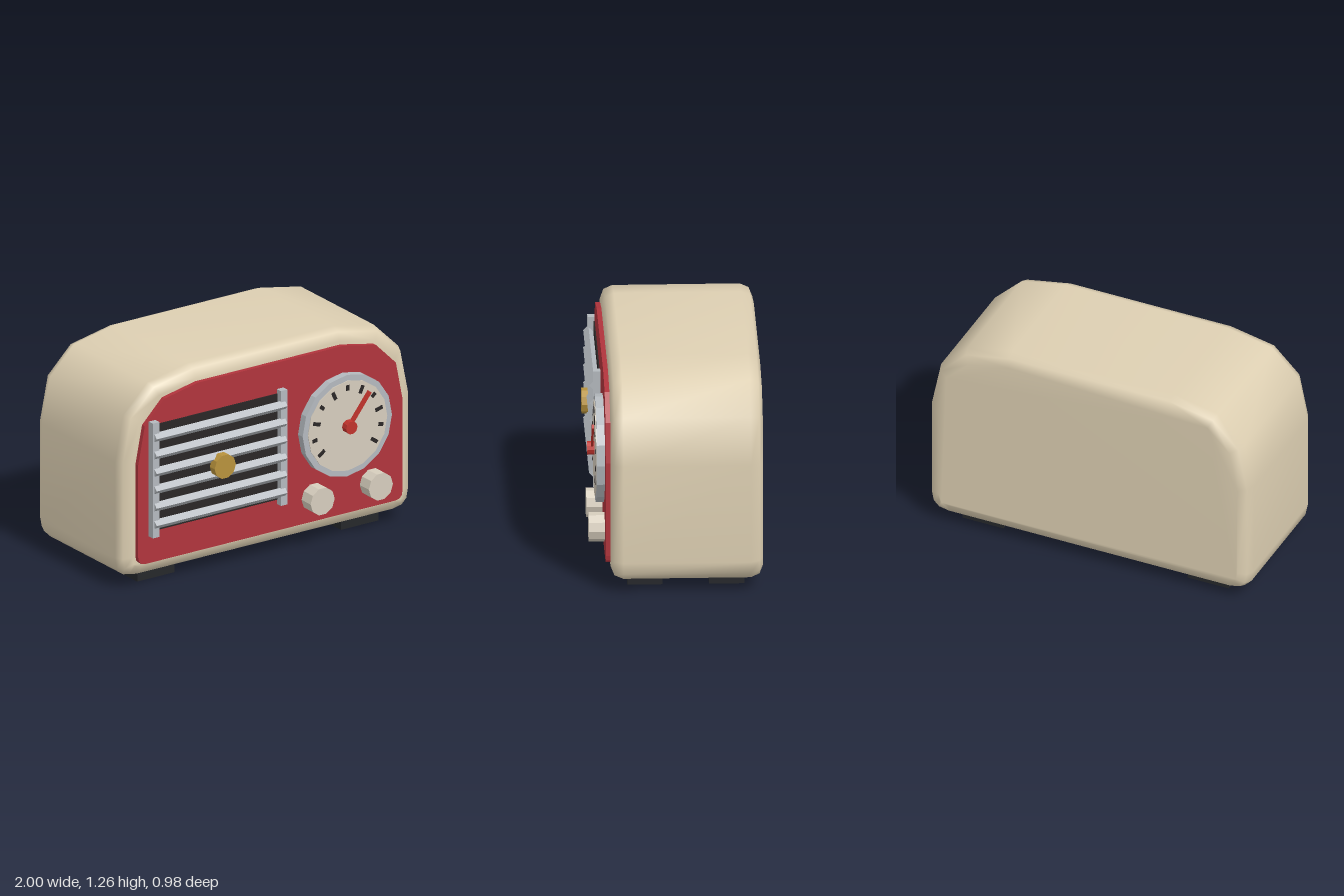
import * as THREE from 'three';
import { mergeVertices } from 'three/addons/utils/BufferGeometryUtils.js';

const paint = (color, flatShading = true) => new THREE.MeshStandardMaterial({ color, flatShading });

// Arched outline: wide rounded shoulders, tight lower corners
function archShape(w, bottom, top, shoulderX, shoulderY, r) {
  const s = new THREE.Shape();
  s.moveTo(-w + r, bottom);
  s.lineTo(w - r, bottom);
  s.quadraticCurveTo(w, bottom, w, bottom + r);
  s.lineTo(w, shoulderY);
  s.quadraticCurveTo(w, top, shoulderX, top);
  s.lineTo(-shoulderX, top);
  s.quadraticCurveTo(-w, top, -w, shoulderY);
  s.lineTo(-w, bottom + r);
  s.quadraticCurveTo(-w, bottom, -w + r, bottom);
  return s;
}

export function createModel() {
  const model = new THREE.Group();
  const cream = paint(0xddcfb2, false);
  const red = paint(0xb0343c);
  const metal = paint(0xb4b9be);
  const dark = paint(0x2a2626);
  const rubber = paint(0x25272a);
  const ivory = paint(0xd6cdbd);
  const gold = paint(0xb8923c);
  const needleRed = paint(0xc0332c);

  function add(name, geometry, material, x, y, z, parent = model) {
    const mesh = new THREE.Mesh(geometry, material);
    mesh.name = name;
    mesh.position.set(x, y, z);
    parent.add(mesh);
    return mesh;
  }
  const box = (name, w, h, d, mat, x, y, z, parent) =>
    add(name, new THREE.BoxGeometry(w, h, d), mat, x, y, z, parent);
  // Disc facing +z, spanning z0 to z1
  function disc(name, r, sides, mat, x, y, z0, z1, parent) {
    const g = new THREE.CylinderGeometry(r, r, z1 - z0, sides);
    g.rotateX(Math.PI / 2).rotateZ(Math.PI / 2);
    return add(name, g, mat, x, y, (z0 + z1) / 2, parent);
  }

  // Cabinet with softened front and back rims
  const bevel = 0.07;
  let cabinet = new THREE.ExtrudeGeometry(archShape(1, 0.065, 1.26, 0.5, 0.77, 0.125), {
    depth: 0.86 - 2 * bevel, curveSegments: 3, bevelEnabled: true,
    bevelThickness: bevel, bevelSize: bevel, bevelOffset: -bevel, bevelSegments: 2,
  });
  cabinet.deleteAttribute('uv');
  cabinet.deleteAttribute('normal');
  cabinet = mergeVertices(cabinet, 1e-4);
  cabinet.computeVertexNormals();
  add('cabinet', cabinet, cream, 0, 0, -0.49 + bevel);

  // Front panel
  const panel = new THREE.ExtrudeGeometry(archShape(0.908, 0.153, 1.17, 0.5, 0.76, 0.05), {
    depth: 0.037, curveSegments: 3, bevelEnabled: false,
  });
  add('frontPanel', panel, red, 0, 0, 0.36);

  // Speaker grille: dark backing, two posts, diamond-section bars
  const grille = new THREE.Group();
  grille.name = 'grille';
  model.add(grille);
  box('grilleBacking', 0.85, 0.64, 0.02, dark, -0.373, 0.664, 0.395, grille);
  for (const x of [-0.813, 0.067]) box('grillePost', 0.045, 0.695, 0.05, metal, x, 0.663, 0.413, grille);
  for (let i = 0; i < 6; i++) {
    const bar = box('grilleBar', 0.9, 0.041, 0.041, metal, -0.375, 0.395 + i * 0.105, 0.432, grille);
    bar.rotation.x = Math.PI / 4;
  }
  disc('grilleBadge', 0.073, 10, gold, -0.373, 0.663, 0.44, 0.488, grille);

  // Tuning dial with ticks and needle
  const dial = new THREE.Group();
  dial.name = 'tuningDial';
  dial.position.set(0.497, 0.703, 0);
  model.add(dial);
  disc('dialRing', 0.307, 16, metal, 0, 0, 0.39, 0.443, dial);
  disc('dialFace', 0.272, 16, ivory, 0, 0, 0.43, 0.447, dial);
  for (let i = 0; i < 11; i++) {
    const a = THREE.MathUtils.degToRad(-35 + i * 25);
    const length = i % 2 ? 0.032 : 0.05;
    const r = 0.246 - length / 2;
    const tick = box('dialTick', length, 0.022, 0.008, dark, r * Math.cos(a), r * Math.sin(a), 0.447, dial);
    tick.rotation.z = a;
  }
  const angle = THREE.MathUtils.degToRad(52);
  const needle = box('dialNeedle', 0.23, 0.026, 0.012, needleRed,
    0.115 * Math.cos(angle), 0.115 * Math.sin(angle), 0.46, dial);
  needle.rotation.z = angle;
  disc('dialHub', 0.039, 10, needleRed, 0, 0, 0.44, 0.488, dial);

  // Control knobs
  for (const x of [0.297, 0.697]) disc('knob', 0.083, 10, ivory, x, 0.302, 0.39, 0.487);

  // Feet
  for (const x of [-0.7, 0.7])
    for (const z of [0.173, -0.288]) box('foot', 0.256, 0.08, 0.2, rubber, x, 0.04, z);

  return model;
}
